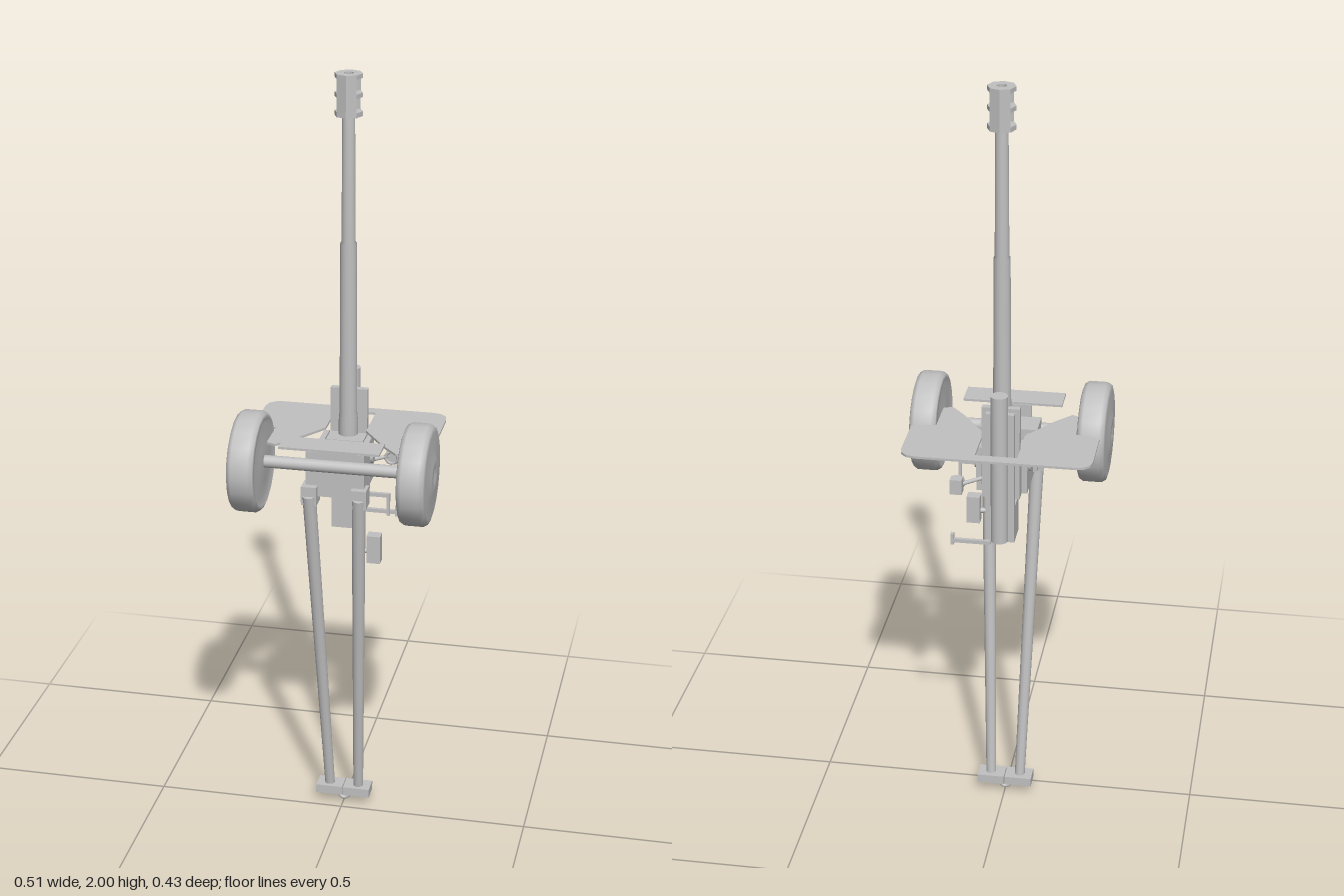
import * as THREE from 'three';

export function createModel() {
  const root = new THREE.Group();
  const grey = new THREE.MeshStandardMaterial({ color: 0xc0c0c0 });
  grey.name = 'light grey';
  const V = (x, y, z) => new THREE.Vector3(x, y, z);

  const add = (name, geometry) => {
    const mesh = new THREE.Mesh(geometry, grey);
    mesh.name = name;
    root.add(mesh);
    return mesh;
  };
  // box given by its limits on each axis
  const box = (name, x0, x1, y0, y1, z0, z1) => {
    const m = add(name, new THREE.BoxGeometry(x1 - x0, y1 - y0, z1 - z0));
    m.position.set((x0 + x1) / 2, (y0 + y1) / 2, (z0 + z1) / 2);
    return m;
  };
  // round bar between two points
  const rod = (name, a, b, r0, r1 = r0, sides = 16) => {
    const dir = b.clone().sub(a);
    const m = add(name, new THREE.CylinderGeometry(r1, r0, dir.length(), sides));
    m.position.copy(a).add(b).multiplyScalar(0.5);
    m.quaternion.setFromUnitVectors(V(0, 1, 0), dir.normalize());
    return m;
  };
  const outline = pts => pts.map(p => new THREE.Vector2(p[0], p[1]));
  // horizontal slab from an x/z outline
  const slab = (name, pts, y0, y1, z = 0, hole = null) => {
    const shape = new THREE.Shape(outline(pts));
    if (hole) shape.holes.push(new THREE.Path(outline(hole)));
    const g = new THREE.ExtrudeGeometry(shape, { depth: y1 - y0, bevelEnabled: false });
    g.rotateX(Math.PI / 2);
    const m = add(name, g);
    m.position.set(0, y1, z);
    return m;
  };
  const ring = (r, n) => Array.from({ length: n }, (_, i) => {
    const a = i / n * Math.PI * 2;
    return [r * Math.cos(a), r * Math.sin(a)];
  });
  const rect = (x, z) => [[-x, -z], [x, -z], [x, z], [-x, z]];
  const bz = -0.09; // barrel axis

  // barrel, stepped and tapered
  const barrel = add('barrel', new THREE.LatheGeometry(outline([
    [0, 0.88], [0.025, 0.88], [0.025, 1.1], [0.023, 1.12], [0.021, 1.57],
    [0.018, 1.575], [0.016, 1.9], [0, 1.9]]), 16));
  barrel.position.z = bz;

  // muzzle brake: three bored discs joined by front and back walls
  const oct = ring(0.035, 8), bore = ring(0.0125, 12);
  for (const [y0, y1] of [[1.895, 1.907], [1.942, 1.953], [1.989, 2]])
    slab('muzzleBrakeDisc', oct, y0, y1, bz, bore);
  for (const [y0, y1] of [[1.907, 1.942], [1.953, 1.989]])
    for (const s of [-1, 1])
      slab('muzzleBrakeWall', [[0.0247, 0.0247 * s], [0, 0.035 * s], [-0.0247, 0.0247 * s],
        [-0.02, 0.02 * s], [0.02, 0.02 * s]], y0, y1, bz);

  // recoil gear, cradle and breech
  rod('recuperator', V(0, 0.82, -0.137), V(0, 1.225, -0.137), 0.022);
  box('cradleBack', -0.048, 0.048, 0.93, 1.18, -0.115, -0.098);
  box('cradleRail', -0.036, 0.036, 0.9, 1.17, -0.131, -0.115);
  box('cradle', -0.048, 0.048, 0.93, 1.06, -0.099, -0.04);
  slab('breech', rect(0.036, 0.037), 0.81, 0.91, -0.088, rect(0.02, 0.02));
  box('breechBlock', -0.02, 0.02, 0.83, 0.9, -0.108, -0.068);

  // carriage body and side brackets
  box('carriageBody', -0.075, 0.075, 0.95, 1.07, 0, 0.077);
  for (const s of [-1, 1]) {
    const bracket = box('sideBracket', -0.007, 0.007, 0.94, 1.06, -0.1, 0.03);
    bracket.position.x = 0.058 * s;
    rod('trunnion', V(0.045 * s, 1.01, -0.07), V(0.072 * s, 1.01, -0.07), 0.018);
  }
  box('frontPlate', -0.128, 0.128, 1.102, 1.108, 0.077, 0.15);
  box('platePost', -0.05, 0.05, 1.06, 1.103, 0.074, 0.08);

  // shield with clipped corners and a cut-out for the gun
  const half = [[0.2, -0.218], [0.222, -0.213], [0.236, -0.199], [0.24, -0.178],
    [0.24, -0.05], [0.178, -0.035], [0.178, 0.066], [0.155, 0.076],
    [0.115, 0.03], [0.053, -0.06], [0.053, -0.187]];
  slab('shield', [...half, ...half.map(([x, z]) => [-x, z]).reverse()], 1.077, 1.083);

  // axle and wheels
  rod('axle', V(-0.2, 1.036, 0.08), V(0.2, 1.036, 0.08), 0.016);
  const profile = outline([[0, -0.035], [0.05, -0.035], [0.1, -0.028], [0.114, -0.036], [0.123, -0.033],
    [0.13, -0.022], [0.13, 0.022], [0.123, 0.033], [0.112, 0.036],
    [0.065, 0.036], [0.045, 0.042], [0.022, 0.042], [0.018, 0.038], [0, 0.038]]);
  for (const s of [-1, 1]) {
    const g = new THREE.LatheGeometry(profile, 20);
    g.rotateZ(-Math.PI / 2);
    const wheel = add('wheel', g);
    wheel.position.set(0.215 * s, 1.036, 0.085);
    if (s < 0) wheel.rotation.y = Math.PI;
  }

  // trails, hinges and end blocks
  for (const s of [-1, 1]) {
    rod('trail', V(0.039 * s, 0.04, -0.042), V(0.064 * s, 0.955, 0.087), 0.0135, 0.018, 12);
    const hinge = box('trailHinge', -0.02, 0.02, 0.93, 0.98, 0.05, 0.095);
    hinge.position.x = 0.064 * s;
    const foot = box('trailFoot', -0.036, 0.036, 0.026, 0.05, -0.067, -0.017);
    foot.position.x = 0.037 * s;
  }
  const eye = add('towingEye', new THREE.TorusGeometry(0.014, 0.005, 8, 20));
  eye.position.set(0, 0.019, -0.042);

  // box fixed to the left trail
  box('trailBox', 0.08, 0.115, 0.77, 0.845, 0.035, 0.065);
  rod('trailBoxArm', V(0.055, 0.8, 0.06), V(0.085, 0.8, 0.05), 0.007);

  // sight with its ring
  box('sight', 0.09, 0.12, 0.96, 1, -0.172, -0.145);
  const sightRing = add('sightRing', new THREE.TorusGeometry(0.016, 0.004, 6, 16));
  sightRing.position.set(0.105, 0.98, -0.14);
  rod('sightArm', V(0.05, 0.98, -0.11), V(0.095, 0.98, -0.15), 0.005);

  // breech lever and elevating crank
  box('breechLever', 0.02, 0.12, 0.816, 0.826, -0.158, -0.149);
  box('breechLeverGrip', 0.114, 0.122, 0.81, 0.84, -0.16, -0.147);
  box('crankArm', 0.07, 0.132, 0.945, 0.955, 0.029, 0.038);
  box('crankGrip', 0.126, 0.134, 0.895, 0.955, 0.029, 0.038);

  return root;
}
